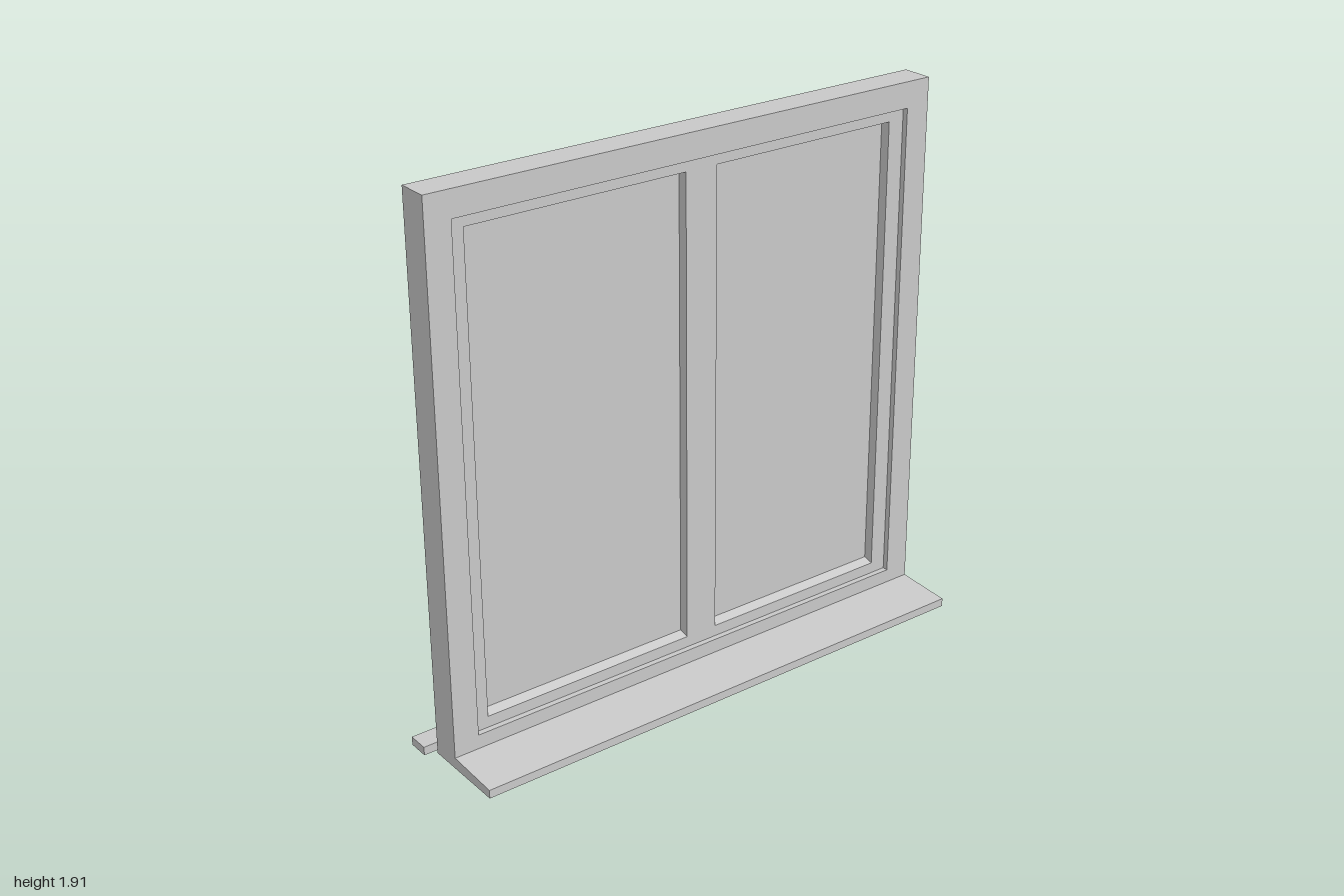
import * as THREE from 'three';

const material = new THREE.MeshStandardMaterial({ color: 0xcccccc });

function add(parent, geometry, name) {
  const mesh = new THREE.Mesh(geometry, material);
  mesh.name = name;
  parent.add(mesh);
  return mesh;
}

function box(parent, name, [x0, x1], [y0, y1], [z0, z1]) {
  const g = new THREE.BoxGeometry(x1 - x0, y1 - y0, z1 - z0);
  g.translate((x0 + x1) / 2, (y0 + y1) / 2, (z0 + z1) / 2);
  return add(parent, g, name);
}

const corners = ([x0, x1, y0, y1]) =>
  [[x0, y0], [x1, y0], [x1, y1], [x0, y1]].map(p => new THREE.Vector2(...p));

// Flat panel with rectangular openings; rectangles are [x0, x1, y0, y1]
function panel(parent, name, outer, holes, z0, z1) {
  const shape = new THREE.Shape(corners(outer));
  for (const h of holes) shape.holes.push(new THREE.Path(corners(h)));
  const g = new THREE.ExtrudeGeometry(shape, { depth: z1 - z0, bevelEnabled: false });
  return add(parent, g.translate(0, 0, z0), name);
}

// Section of [z, y] points, run along x
function moulding(parent, name, section, x0, x1) {
  const shape = new THREE.Shape(section.map(p => new THREE.Vector2(...p)));
  const g = new THREE.ExtrudeGeometry(shape, { depth: x1 - x0, bevelEnabled: false });
  return add(parent, g.rotateY(-Math.PI / 2).translate(x1, 0, 0), name);
}

export function createModel() {
  const model = new THREE.Group();
  model.name = 'window';

  // Outer frame, with a wider rebate behind its front lip
  const frame = new THREE.Group();
  frame.name = 'outerFrame';
  model.add(frame);
  const outer = [-0.96, 0.96, 0, 1.91];
  panel(frame, 'frameLip', outer, [[-0.87, 0.87, 0.09, 1.82]], -0.02, 0);
  panel(frame, 'frameBody', outer, [[-0.885, 0.885, 0.075, 1.835]], -0.11, -0.02);

  // Sash with two unequal lights, openings slightly larger at the back
  const sash = new THREE.Group();
  sash.name = 'sash';
  model.add(sash);
  const lights = [[-0.82, -0.025, 0.13, 1.78], [0.095, 0.81, 0.13, 1.78]];
  const grow = ([a, b, c, d], e) => [a - e, b + e, c - e, d + e];
  const backLights = lights.map(l => grow(l, 0.015));
  const sashEdge = [-0.88, 0.88, 0.08, 1.83];
  panel(sash, 'sashFront', sashEdge, lights, -0.06, -0.02);
  panel(sash, 'sashBack', sashEdge, backLights, -0.108, -0.06);

  // Glass panes and sloping beads above and below them
  lights.forEach((light, i) => {
    const [x0, x1, y0, y1] = light;
    box(sash, 'glassPane', [x0 - 0.005, x1 + 0.005], [y0 - 0.005, y1 + 0.005], [-0.066, -0.056]);
    moulding(sash, 'frontBottomBead', [[-0.02, y0], [-0.056, y0 + 0.01], [-0.056, y0]], x0, x1);
    moulding(sash, 'frontTopBead', [[-0.02, y1], [-0.056, y1], [-0.056, y1 - 0.01]], x0, x1);
    const [bx0, bx1, by0, by1] = backLights[i];
    moulding(sash, 'backBottomBead', [[-0.108, by0], [-0.06, by0], [-0.06, by0 + 0.016]], bx0, bx1);
    moulding(sash, 'backTopBead', [[-0.108, by1], [-0.06, by1 - 0.016], [-0.06, by1]], bx0, bx1);
  });

  // Sloping outside sill and the separate board behind
  moulding(model, 'frontSill', [[0, 0], [0.2, 0], [0.2, 0.03], [0, 0.04]], -0.96, 0.96);
  box(model, 'backBoard', [-1, 1], [0, 0.03], [-0.2, -0.125]);

  return model;
}
